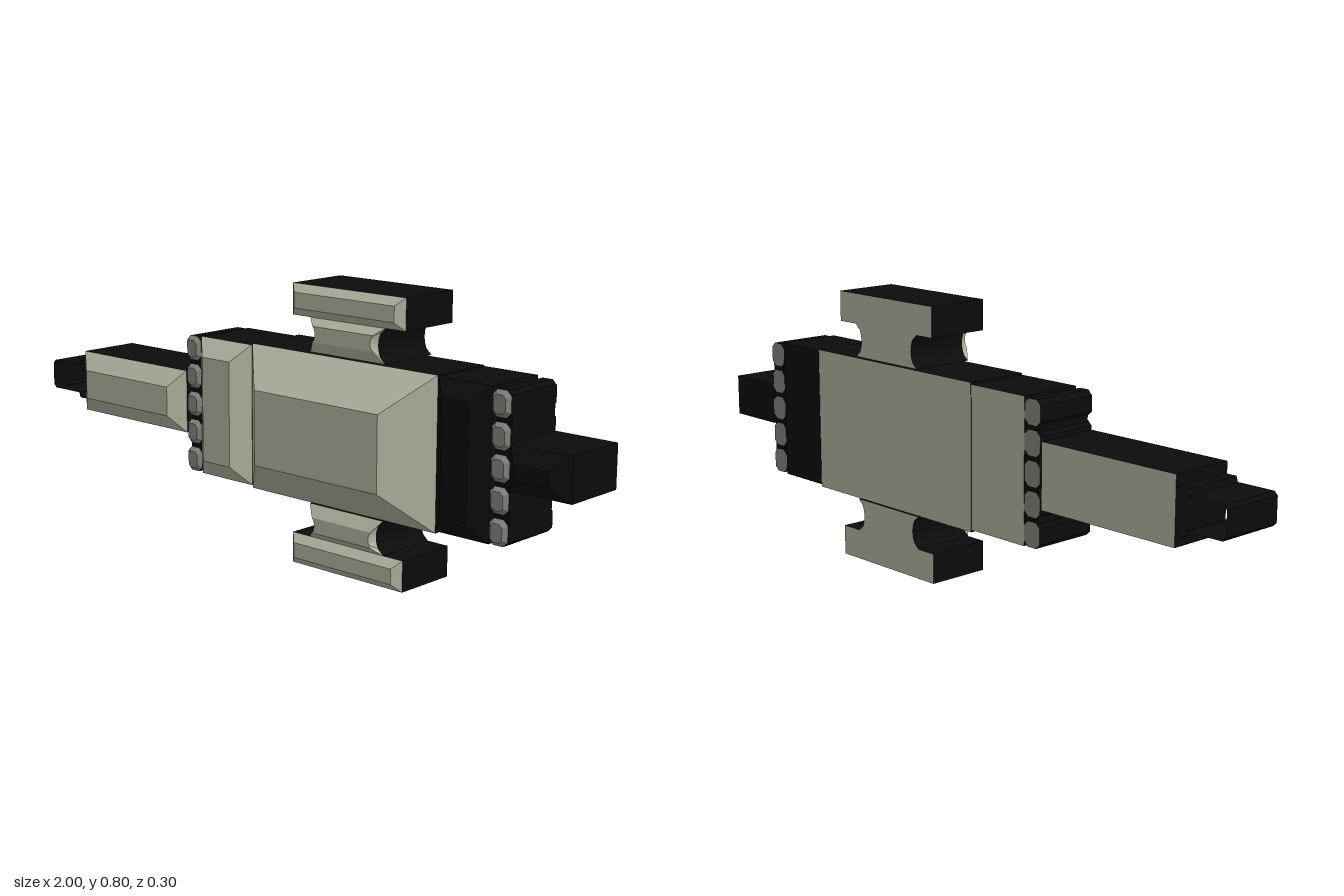
import * as THREE from 'three';

const shellMat = new THREE.MeshStandardMaterial({ color: 0xb3b6a1 });
const ribMat = new THREE.MeshStandardMaterial({ color: 0x85857f });
const darkMat = new THREE.MeshStandardMaterial({ color: 0x0b0b0b });
const openMat = new THREE.MeshStandardMaterial({ color: 0x0b0b0b, side: THREE.DoubleSide });

const BACK = -0.15, RIM = 0.045, MID_Y = 0.403;

// Rectangle outline, counter-clockwise, optionally with cut corners
function rect(x0, x1, y0, y1, cut = 0) {
  if (!cut) return [[x0, y0], [x1, y0], [x1, y1], [x0, y1]];
  return [[x0 + cut, y0], [x1 - cut, y0], [x1, y0 + cut], [x1, y1 - cut],
    [x1 - cut, y1], [x0 + cut, y1], [x0, y1 - cut], [x0, y0 + cut]];
}

// Band of quads joining two outlines at different depths
function band(a, za, b, zb) {
  const out = [];
  a.forEach((p, i) => {
    const j = (i + 1) % a.length;
    const A = [...p, za], B = [...a[j], za], C = [...b[j], zb], D = [...b[i], zb];
    out.push(...A, ...B, ...C, ...A, ...C, ...D);
  });
  return out;
}

// Flat fill of an outline, facing forward or backward
function cap(pts, z, forward) {
  const v = pts.map(p => new THREE.Vector2(...p));
  const out = [];
  for (const [a, b, c] of THREE.ShapeUtils.triangulateShape(v, [])) {
    for (const i of forward ? [a, b, c] : [a, c, b]) out.push(...pts[i], z);
  }
  return out;
}

function mesh(positions, material, name) {
  const g = new THREE.BufferGeometry();
  g.setAttribute('position', new THREE.Float32BufferAttribute(positions, 3));
  g.computeVertexNormals();
  const m = new THREE.Mesh(g, material);
  m.name = name;
  return m;
}

// Plate with dark side walls, a bevelled front and a flat back
function plate(name, outer, inner, top, material) {
  const group = new THREE.Group();
  group.name = name;
  group.add(mesh(band(outer, BACK, outer, RIM), darkMat, name + 'Walls'));
  group.add(mesh([
    ...band(outer, RIM, inner, top),
    ...cap(inner, top, true),
    ...cap(outer, BACK, false),
  ], material, name + 'Faces'));
  return group;
}

// Reflects an outline in the horizontal centre line, keeping its winding
const flip = pts => pts.map(([x, y]) => [x, 2 * MID_Y - y]).reverse();

// Waisted connector outline: concave curved sides
function waisted(x0, x1, y0, y1, pinch) {
  const n = 6, right = [], left = [];
  for (let i = 0; i <= n; i++) {
    const t = i / n, d = pinch * Math.sqrt(Math.sin(Math.PI * t) + 1e-9);
    const y = y0 + (y1 - y0) * t;
    right.push([x1 - d, y]);
    left.unshift([x0 + d, y]);
  }
  return [...right, ...left];
}

export function createModel() {
  const model = new THREE.Group();
  model.name = 'platedModel';

  // Main body sections
  model.add(plate('mainBody', rect(-0.10, 0.575, 0.19, 0.615), rect(0.01, 0.46, 0.295, 0.51), 0.15, shellMat));
  model.add(plate('forwardBody', rect(-0.31, -0.102, 0.197, 0.61), rect(-0.26, -0.15, 0.25, 0.56), 0.09, shellMat));
  model.add(plate('darkSection', rect(0.577, 0.75, 0.197, 0.612), rect(0.62, 0.705, 0.24, 0.57), 0.085, darkMat));

  // Long arm and tail stub
  model.add(plate('longArm', rect(-0.84, -0.375, 0.31, 0.498), rect(-0.79, -0.42, 0.36, 0.448), 0.085, shellMat));
  model.add(plate('tailStub', rect(0.81, 1.0, 0.35, 0.473), rect(0.85, 0.955, 0.39, 0.433), 0.085, darkMat));

  // Hollow tip: a stepped sleeve open at front and back
  const sleeve = [[-0.84, 0.345], [-0.87, 0.345], [-0.875, 0.36], [-0.99, 0.36], [-1, 0.37],
    [-1, 0.44], [-0.99, 0.45], [-0.875, 0.45], [-0.87, 0.465], [-0.84, 0.465]].reverse();
  model.add(mesh(band(sleeve, BACK, sleeve, RIM), openMat, 'hollowTip'));

  // Ribbed rings at both ends of the body
  for (const [side, x0, x1] of [['front', -0.37, -0.311], ['rear', 0.751, 0.81]]) {
    for (let i = 0; i < 5; i++) {
      const y = MID_Y + (i - 2) * 0.084;
      model.add(plate(side + 'Rib' + (i + 1),
        rect(x0, x1, y - 0.036, y + 0.036, 0.014),
        rect(x0 + 0.011, x1 - 0.011, y - 0.025, y + 0.025, 0.009), 0.056, ribMat));
    }
    // Core joining the ribs
    model.add(mesh(band(rect(x0 + 0.01, x1, 0.21, 0.596), BACK + 0.005, rect(x0 + 0.01, x1, 0.21, 0.596), RIM - 0.005)
      .concat(cap(rect(x0 + 0.01, x1, 0.21, 0.596), RIM - 0.005, true),
        cap(rect(x0 + 0.01, x1, 0.21, 0.596), BACK + 0.005, false)), darkMat, side + 'RibCore'));
  }

  // Upper and lower pods on waisted connectors
  const podOuter = rect(0.06, 0.465, 0.716, 0.805), podInner = rect(0.083, 0.442, 0.739, 0.783);
  const linkOuter = waisted(0.125, 0.395, 0.619, 0.716, 0.025), linkInner = waisted(0.152, 0.368, 0.652, 0.696, 0.008);
  for (const [side, f] of [['upper', p => p], ['lower', flip]]) {
    model.add(plate(side + 'Pod', f(podOuter), f(podInner), 0.066, shellMat));
    model.add(plate(side + 'Connector', f(linkOuter), f(linkInner), 0.066, shellMat));
  }

  return model;
}
